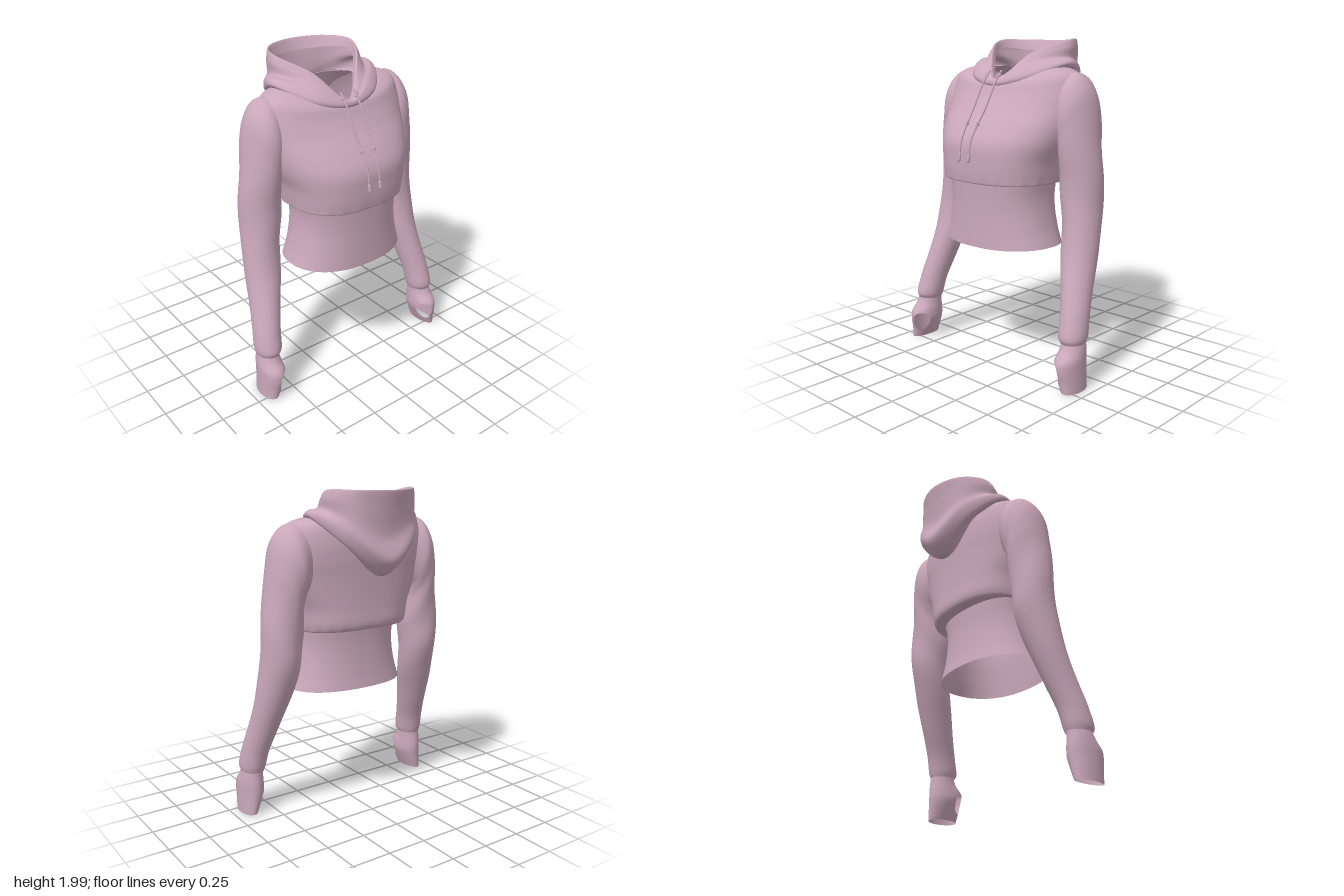
import * as THREE from 'three';

const V = (x, y, z) => new THREE.Vector3(x, y, z);
const TAU = Math.PI * 2;

// Oval ring around the body: half width, front/back/side z, front/side/back heights, squareness.
function bodyRing(hw, zf, zb, zc, yf, ys = yf, yb = ys, n = 2.6) {
  return (a) => {
    const s = Math.sin(a), c = Math.cos(a);
    const p = (v) => Math.sign(v) * Math.pow(Math.abs(v), 2 / n);
    const y = ys + ((c > 0 ? yf : yb) - ys) * c * c;
    return V(hw * p(s), y, zc + (c > 0 ? zf - zc : zc - zb) * p(c));
  };
}

// Oval ring around an arm: outer (x, y), inner (x, y), front z, back z.
function armRing(ox, oy, ix, iy, zf, zb) {
  return (a) => {
    const s = Math.sin(a) / 2;
    return V((ox + ix) / 2 + (ox - ix) * s, (oy + iy) / 2 + (oy - iy) * s, (zf + zb) / 2 + (zf - zb) / 2 * Math.cos(a));
  };
}

// Ring through half-outline points, front to back, mirrored on x.
function mirrorRing(...half) {
  const pts = half.map((p) => V(...p));
  const other = half.slice(1, -1).reverse().map(([x, y, z]) => V(-x, y, z));
  const curve = new THREE.CatmullRomCurve3([...pts, ...other], true);
  return (a) => curve.getPoint((((a / TAU) % 1) + 1) % 1);
}

const flip = (ring) => (a) => {
  const p = ring(-a);
  p.x *= -1;
  return p;
};

// Smooth skin over rings, listed bottom to top. ripple(a, t) swells it; hole cuts a round opening.
function loft(rings, nu, nv, { ripple, hole } = {}) {
  const pos = [], index = [];
  const pointAt = (i, j) => {
    const a = (i / nu) * TAU, t = j / nv;
    const p = new THREE.CatmullRomCurve3(rings.map((r) => r(a))).getPoint(t);
    if (ripple) {
      const k = t * (rings.length - 1), r0 = Math.floor(k), r1 = Math.min(r0 + 1, rings.length - 1);
      const mid = (r) => rings[r](Math.PI / 2).add(rings[r](-Math.PI / 2)).multiplyScalar(0.5);
      const c = mid(r0).lerp(mid(r1), k - r0);
      p.addScaledVector(p.clone().sub(c), ripple(a, t));
    }
    return p;
  };
  const offset = (i, j) => {
    let d = i - hole.i;
    if (d > nu / 2) d -= nu;
    if (d < -nu / 2) d += nu;
    return [d / hole.w, (j - hole.j) / hole.h];
  };
  for (let j = 0; j <= nv; j++) {
    for (let i = 0; i < nu; i++) {
      let gi = i, gj = j;
      if (hole) {
        // bend the grid around the opening so that its edge is round
        const [u, v] = offset(i, j);
        const m = Math.max(Math.abs(u), Math.abs(v));
        if (m >= 1 && m < 1.8) {
          const f = 1 + (m / Math.hypot(u, v) - 1) * (1.8 - m) / 0.8;
          gi = hole.i + u * f * hole.w;
          gj = hole.j + v * f * hole.h;
        }
      }
      pos.push(...pointAt(gi, gj).toArray());
      if (j === nv) continue;
      if (hole) {
        const [u, v] = offset(i + 0.5, j + 0.5);
        if (Math.max(Math.abs(u), Math.abs(v)) < 1) continue;
      }
      const a = j * nu + i, b = j * nu + ((i + 1) % nu);
      index.push(a, b, b + nu, a, b + nu, a + nu);
    }
  }
  const g = new THREE.BufferGeometry();
  g.setAttribute('position', new THREE.Float32BufferAttribute(pos, 3));
  g.setIndex(index);
  g.computeVertexNormals();
  return g;
}

export function createModel() {
  const model = new THREE.Group();
  model.name = 'croppedHoodie';
  const fabric = new THREE.MeshStandardMaterial({ color: 0xcaa8ba, side: THREE.DoubleSide });
  fabric.name = 'dustyPinkFabric';
  const add = (name, geometry) => {
    const mesh = new THREE.Mesh(geometry, fabric);
    mesh.name = name;
    model.add(mesh);
    return mesh;
  };

  // Fitted waistband, flared at the bottom
  add('waistband', loft([
    bodyRing(0.388, 0.365, -0.175, 0.09, 0.78, 0.79, 0.795, 2.3),
    bodyRing(0.36, 0.362, -0.162, 0.09, 0.88, 0.88, 0.88, 2.3),
    bodyRing(0.337, 0.36, -0.152, 0.09, 1.0, 1.0, 1.0, 2.3),
    bodyRing(0.33, 0.36, -0.15, 0.09, 1.09, 1.09, 1.09, 2.4),
    bodyRing(0.338, 0.362, -0.155, 0.09, 1.185, 1.185, 1.185, 2.5),
  ], 72, 20));

  // Loose bodice gathered into the waistband, widening into the shoulders
  add('bodice', loft([
    bodyRing(0.335, 0.358, -0.15, 0.06, 1.18),
    bodyRing(0.366, 0.384, -0.222, 0.06, 1.166, 1.166, 1.172, 2.6),
    bodyRing(0.375, 0.392, -0.24, 0.05, 1.2, 1.2, 1.2, 2.6),
    bodyRing(0.392, 0.395, -0.24, 0.04, 1.3, 1.3, 1.3, 2.6),
    bodyRing(0.435, 0.388, -0.24, 0.01, 1.4, 1.4, 1.4, 2.4),
    bodyRing(0.465, 0.333, -0.243, -0.01, 1.5, 1.5, 1.5, 2.3),
    bodyRing(0.48, 0.257, -0.248, -0.03, 1.6, 1.6, 1.6, 2.3),
    bodyRing(0.475, 0.207, -0.245, -0.04, 1.68, 1.71, 1.7, 2.3),
    bodyRing(0.44, 0.185, -0.23, -0.04, 1.725, 1.795, 1.78, 2.3),
    bodyRing(0.35, 0.178, -0.2, -0.05, 1.732, 1.83, 1.82, 2.2),
    bodyRing(0.2, 0.165, -0.17, -0.06, 1.735, 1.83, 1.83, 2),
  ], 96, 60, { ripple: (a, t) => 0.006 * Math.sin(a * 22) * Math.max(0, 1 - Math.abs(t - 0.13) * 9) }));

  // Sleeves and cuffs with thumb openings
  const sleeve = [
    armRing(0.69, 0.288, 0.55, 0.288, 0.25, 0.085),
    armRing(0.698, 0.32, 0.54, 0.315, 0.262, 0.075),
    armRing(0.69, 0.42, 0.525, 0.42, 0.238, 0.05),
    armRing(0.666, 0.6, 0.48, 0.6, 0.182, -0.02),
    armRing(0.646, 0.8, 0.43, 0.8, 0.13, -0.1),
    armRing(0.635, 1.0, 0.4, 0.98, 0.098, -0.155),
    armRing(0.625, 1.2, 0.385, 1.12, 0.098, -0.168),
    armRing(0.602, 1.4, 0.385, 1.22, 0.11, -0.178),
    armRing(0.577, 1.58, 0.39, 1.3, 0.12, -0.195),
    armRing(0.54, 1.72, 0.39, 1.34, 0.125, -0.208),
    armRing(0.475, 1.798, 0.385, 1.37, 0.115, -0.21),
    armRing(0.36, 1.805, 0.36, 1.4, 0.06, -0.17),
  ];
  const cuff = [
    armRing(0.7, 0.01, 0.6, 0.022, 0.295, 0.09),
    armRing(0.7, 0.08, 0.575, 0.08, 0.305, 0.085),
    armRing(0.7, 0.15, 0.55, 0.15, 0.32, 0.08),
    armRing(0.7, 0.2, 0.55, 0.2, 0.313, 0.08),
    armRing(0.694, 0.25, 0.557, 0.25, 0.268, 0.085),
    armRing(0.685, 0.3, 0.56, 0.3, 0.243, 0.09),
  ];
  const folds = (a, t) => 0.025 * Math.sin(a * 2 + t * 30) * Math.sin(Math.PI * t) ** 2;
  for (const [side, mirror] of [['left', (r) => r], ['right', flip]]) {
    const s = side === 'left' ? 1 : -1;
    add(side + 'Sleeve', loft(sleeve.map(mirror), 48, 66, { ripple: (a, t) => folds(a * s, t) }));
    add(side + 'Cuff', loft(cuff.map(mirror), 48, 24, { hole: { i: s > 0 ? 43 : 5, j: 9, w: 5, h: 5 } }));
  }

  // Hood: neck seam, hanging bag, crease, open rim and turned-in hem
  add('hood', loft([
    mirrorRing([0, 1.735, 0.165], [0.14, 1.78, 0.09], [0.21, 1.82, -0.06], [0.17, 1.83, -0.15], [0, 1.83, -0.17]),
    mirrorRing([0, 1.72, 0.182], [0.21, 1.755, 0.125], [0.34, 1.83, -0.08], [0.23, 1.72, -0.25], [0, 1.55, -0.26]),
    mirrorRing([0, 1.735, 0.192], [0.22, 1.785, 0.13], [0.36, 1.85, -0.1], [0.23, 1.68, -0.31], [0, 1.5, -0.32]),
    mirrorRing([0, 1.755, 0.187], [0.2, 1.835, 0.1], [0.345, 1.875, -0.13], [0.235, 1.75, -0.34], [0, 1.59, -0.422]),
    mirrorRing([0, 1.76, 0.175], [0.18, 1.855, 0.07], [0.3, 1.885, -0.15], [0.22, 1.83, -0.335], [0, 1.73, -0.388]),
    mirrorRing([0, 1.765, 0.165], [0.172, 1.89, 0.04], [0.297, 1.945, -0.17], [0.22, 1.93, -0.335], [0, 1.87, -0.4]),
    mirrorRing([0, 1.757, 0.152], [0.155, 1.908, 0.03], [0.278, 1.99, -0.18], [0.2, 1.993, -0.345], [0, 1.99, -0.418]),
    mirrorRing([0, 1.75, 0.14], [0.14, 1.875, 0.015], [0.258, 1.94, -0.18], [0.18, 1.93, -0.32], [0, 1.92, -0.385]),
  ], 96, 56));

  // Drawstrings with eyelets, knots and tips
  for (const [side, x0, x1] of [['left', 0.04, 0.028], ['right', -0.055, -0.05]]) {
    const path = new THREE.CatmullRomCurve3([
      V(x0, 1.81, 0.15), V(x0, 1.77, 0.188), V(x0, 1.6, 0.288), V(x1, 1.42, 0.395), V(x1, 1.3, 0.418),
    ]);
    add(side + 'Drawstring', new THREE.TubeGeometry(path, 40, 0.006, 8));
    const eyelet = add(side + 'Eyelet', new THREE.TorusGeometry(0.012, 0.004, 6, 16));
    eyelet.position.set(x0, 1.785, 0.178);
    eyelet.rotation.x = -0.6;
    const knot = add(side + 'Knot', new THREE.SphereGeometry(0.01, 12, 8));
    knot.position.copy(path.getPoint(0.62));
    knot.scale.y = 1.6;
    const tip = add(side + 'CordTip', new THREE.CapsuleGeometry(0.01, 0.03, 4, 10));
    tip.position.set(x1, 1.315, 0.416);
    tip.rotation.x = -0.2;
  }
  return model;
}
